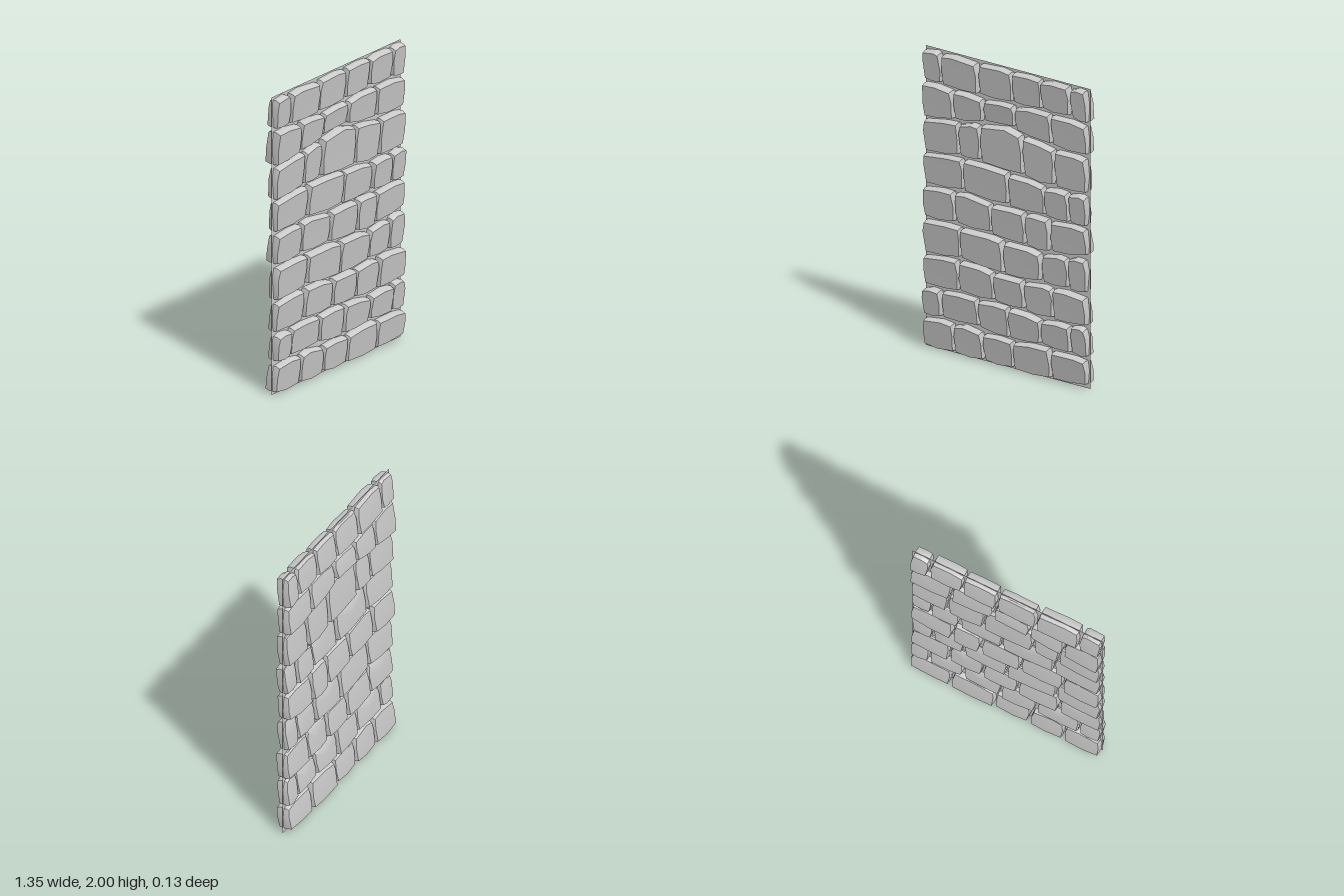
import * as THREE from 'three';
import { mergeVertices, toCreasedNormals } from 'three/addons/utils/BufferGeometryUtils.js';

const HALF_WIDTH = 0.675;
const HEIGHT = 2;

// Height of each bed joint at five even steps across the wall
const beds = [
  [0, 0, 0, 0, 0.02],
  [0.21, 0.22, 0.2, 0.22, 0.2],
  [0.41, 0.42, 0.42, 0.4, 0.42],
  [0.62, 0.65, 0.62, 0.63, 0.63],
  [0.86, 0.87, 0.86, 0.84, 0.88],
  [1.08, 1.1, 1.08, 1.08, 1.08],
  [1.3, 1.33, 1.32, 1.29, 1.3],
  [1.53, 1.57, 1.62, 1.56, 1.55],
  [1.78, 1.77, 1.77, 1.79, 1.77],
  [2, 2, 2, 2, 2],
];

// Upright joints of each course, and how far its stones stand out at the back
const courses = [
  { back: 0.064, joints: [-0.42, -0.18, 0.07, 0.38] },
  { back: 0.052, joints: [-0.52, -0.22, 0.03, 0.3, 0.54] },
  { back: 0.051, joints: [-0.38, -0.09, 0.16, 0.4] },
  { back: 0.044, joints: [-0.36, -0.01, 0.3, 0.52] },
  { back: 0.06, joints: [-0.41, -0.11, 0.17, 0.37] },
  { back: 0.042, joints: [-0.34, 0.03, 0.33, 0.53] },
  { back: 0.05, joints: [-0.38, -0.2, 0.15, 0.41] },
  { back: 0.064, joints: [-0.42, -0.18, 0.08, 0.38] },
  { back: 0.056, joints: [-0.52, -0.22, 0.06, 0.3, 0.54] },
];

let seed = 7;
function random() {
  seed = (seed * 16807) % 2147483647;
  return seed / 2147483647;
}

function bedHeight(bed, x) {
  const s = THREE.MathUtils.clamp((x / HALF_WIDTH + 1) * 2, 0, 4);
  const i = Math.min(3, Math.floor(s));
  return THREE.MathUtils.lerp(bed[i], bed[i + 1], s - i);
}

// Eight-sided outline between two upright joints and two beds:
// rounded-off corners with the middle of every edge reaching furthest out.
function stoneOutline(left, right, lower, upper) {
  const cut = () => 0.004 + random() * 0.012;
  const width = right - left;
  const x0 = left + 0.006, x1 = right - 0.006;
  const bottom = (x, lift) => new THREE.Vector2(x, bedHeight(lower, x) + 0.006 + lift);
  const top = (x, drop) => new THREE.Vector2(x, bedHeight(upper, x) - 0.008 - drop);
  const middle = (x) => {
    const low = bedHeight(lower, x), high = bedHeight(upper, x);
    return new THREE.Vector2(x, THREE.MathUtils.lerp(low, high, 0.4 + random() * 0.3));
  };
  return [
    bottom(x0 + cut(), cut()), bottom(left + width * (0.4 + random() * 0.2), 0),
    bottom(x1 - cut(), cut()), middle(x1),
    top(x1 - cut(), cut()), top(left + width * (0.3 + random() * 0.4), 0),
    top(x0 + cut(), cut()), middle(x0),
  ];
}

// Stone leaning forward at the top: flat bevelled front, softly domed back.
function stoneGeometry(outline, front, back) {
  const n = outline.length;
  const ys = outline.map((p) => p.y);
  const y0 = Math.min(...ys), span = Math.max(...ys) - y0;
  const centre = outline.reduce((c, p) => c.addScaledVector(p, 1 / n), new THREE.Vector2());
  const zFront = (t) => front - 0.022 * (1 - t);
  const zBack = (t) => -back + 0.026 * t;
  const positions = [];
  const index = [];

  // Rings from back to front
  const rings = [
    { z: zBack, top: 0.008, bottom: 0.008, side: 0.97 },
    { z: (t) => zBack(t) * 0.5, top: 0, bottom: 0, side: 1 },
    { z: (t) => zFront(t) * 0.5, top: 0, bottom: 0, side: 1 },
    { z: zFront, top: 0.014, bottom: 0.002, side: 0.98 },
  ];
  for (const r of rings) {
    for (const p of outline) {
      const t = (p.y - y0) / span;
      const y = p.y - r.top * t + r.bottom * (1 - t);
      positions.push(centre.x + (p.x - centre.x) * r.side, y, r.z(t));
    }
  }
  const tc = (centre.y - y0) / span;
  const backCentre = positions.length / 3;
  positions.push(centre.x, centre.y, zBack(tc) - 0.006);
  positions.push(centre.x, centre.y, zFront(tc));

  const last = (rings.length - 1) * n;
  for (let i = 0; i < n; i++) {
    const j = (i + 1) % n;
    for (let a = i, b = j; a < last; a += n, b += n) {
      index.push(a, b, b + n, a, b + n, a + n);
    }
    index.push(backCentre, j, i, backCentre + 1, last + i, last + j);
  }

  const geometry = new THREE.BufferGeometry();
  geometry.setAttribute('position', new THREE.Float32BufferAttribute(positions, 3));
  geometry.setIndex(index);
  return toCreasedNormals(mergeVertices(geometry), 0.55);
}

export function createModel() {
  const model = new THREE.Group();
  model.name = 'stoneWall';
  const stoneMaterial = new THREE.MeshStandardMaterial({ color: 0xcccccc });
  const mortarMaterial = new THREE.MeshStandardMaterial({ color: 0xcccccc, side: THREE.DoubleSide });

  // Thin mortar sheet between the stones
  const mortar = new THREE.Mesh(new THREE.PlaneGeometry(HALF_WIDTH * 2, HEIGHT), mortarMaterial);
  mortar.name = 'mortarSheet';
  mortar.position.y = HEIGHT / 2;
  model.add(mortar);

  // Stone courses
  courses.forEach(({ back, joints }, row) => {
    const course = new THREE.Group();
    course.name = `stoneCourse${row + 1}`;
    const edges = [-HALF_WIDTH, ...joints, HALF_WIDTH];
    for (let i = 0; i < edges.length - 1; i++) {
      const outline = stoneOutline(edges[i], edges[i + 1], beds[row], beds[row + 1]);
      const geometry = stoneGeometry(outline, 0.062 - random() * 0.014, back - random() * 0.012);
      const stone = new THREE.Mesh(geometry, stoneMaterial);
      stone.name = `stone${i + 1}`;
      course.add(stone);
    }
    model.add(course);
  });

  return model;
}
